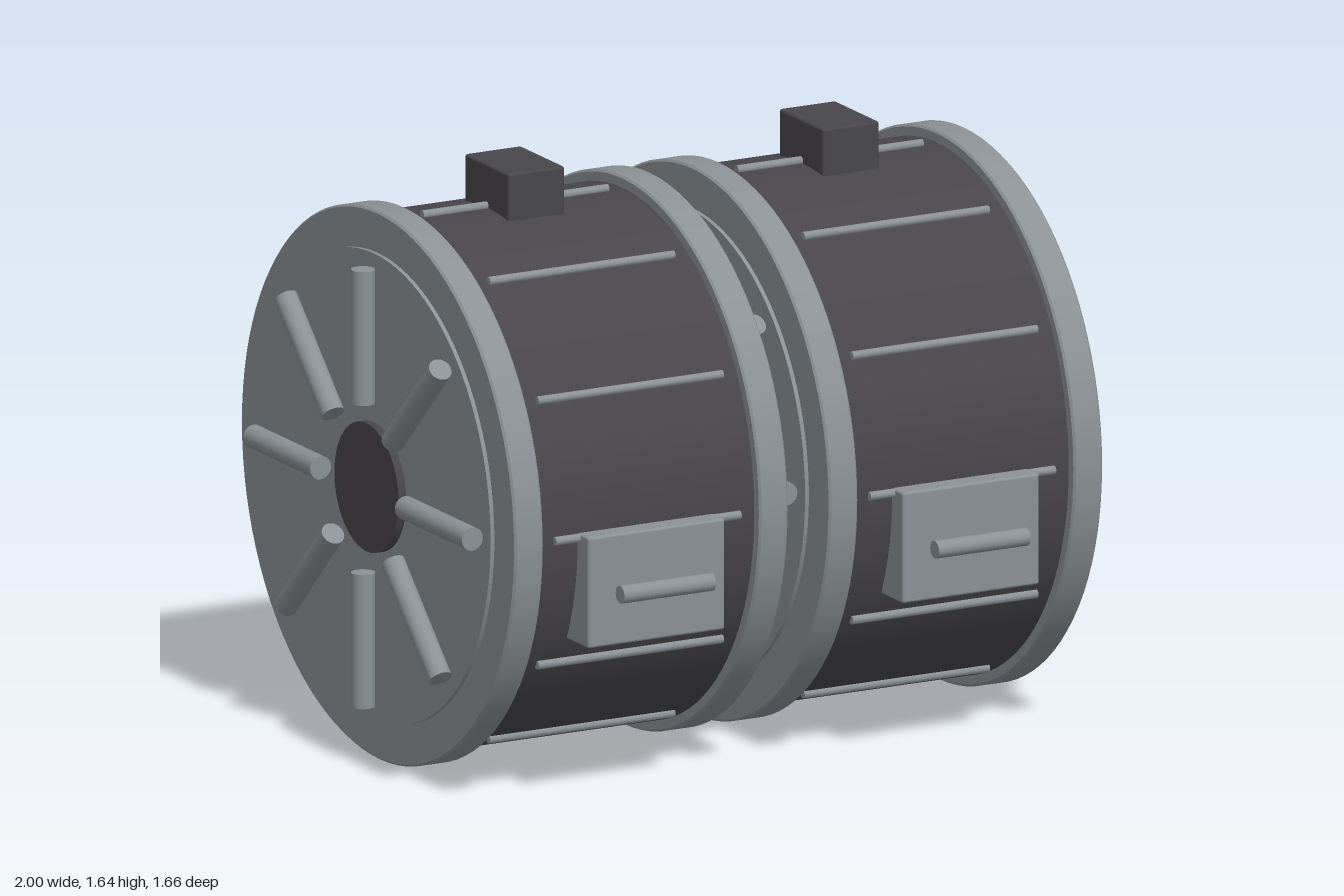
import * as THREE from 'three';
import { RoundedBoxGeometry } from 'three/addons/geometries/RoundedBoxGeometry.js';

const AXIS_Y = 0.78, AXIS_Z = -0.05;

export function createModel() {
  const steel = new THREE.MeshStandardMaterial({ color: 0x8b9195 });
  steel.name = 'steel grey';
  const dark = new THREE.MeshStandardMaterial({ color: 0x48464b });
  dark.name = 'dark charcoal';

  const add = (parent, name, geometry, material, x = 0, y = 0, z = 0) => {
    const mesh = new THREE.Mesh(geometry, material);
    mesh.name = name;
    mesh.position.set(x, y, z);
    parent.add(mesh);
    return mesh;
  };
  // cylinder lying along x
  const discX = (radius, length, sides = 96) =>
    new THREE.CylinderGeometry(radius, radius, length, sides).rotateZ(Math.PI / 2);

  // flange ring with small bevelled rims, lying along x
  const flangeGeo = () => {
    const R = 0.777, h = 0.045, b = 0.006;
    const corners = [[0, -h], [R - b, -h], [R, -h + b], [R, h - b], [R - b, h], [0, h]];
    const points = [];
    // doubled corners keep the edges sharp
    corners.forEach(([r, y], i) => {
      points.push(new THREE.Vector2(r, y));
      if (i > 0 && i < corners.length - 1) points.push(new THREE.Vector2(r, y));
    });
    return new THREE.LatheGeometry(points, 96).rotateZ(Math.PI / 2);
  };

  function createDrum(name) {
    const drum = new THREE.Group();
    drum.name = name;
    add(drum, 'drumBody', discX(0.745, 0.8), dark);

    // ribs around the body
    const ribGeo = discX(0.0125, 0.58, 12);
    for (let i = 0; i < 12; i++) {
      const a = i * Math.PI / 6;
      add(drum, 'rib', ribGeo, steel, 0, 0.75 * Math.cos(a), 0.75 * Math.sin(a));
    }

    // matching end on each side: flange, cap, hub and radial spokes
    const spokeGeo = new THREE.CylinderGeometry(0.033, 0.033, 0.38, 20);
    for (const s of [-1, 1]) {
      const end = new THREE.Group();
      end.name = s > 0 ? 'leftEnd' : 'rightEnd';
      drum.add(end);
      add(end, 'flange', flangeGeo(), steel, s * 0.383);
      add(end, 'endCap', discX(0.66, 0.06), steel, s * 0.41);
      add(end, 'hub', discX(0.182, 0.06, 48), dark, s * 0.434);
      for (let i = 0; i < 8; i++) {
        const a = i * Math.PI / 4;
        const spoke = add(end, 'spoke', spokeGeo, steel,
          s * 0.475, 0.43 * Math.cos(a), 0.43 * Math.sin(a));
        spoke.rotation.x = a;
      }
    }

    // top block, front panel and its handle bar
    add(drum, 'topBlock', new RoundedBoxGeometry(0.177, 0.17, 0.25, 2, 0.008), dark, 0, 0.783, 0);
    add(drum, 'frontPanel', new RoundedBoxGeometry(0.428, 0.315, 0.15, 2, 0.008), steel, 0, -0.145, 0.73);
    add(drum, 'handleBar', discX(0.025, 0.287, 20), steel, 0, -0.145, 0.857);

    return drum;
  }

  const model = new THREE.Group();
  model.name = 'twinDrums';
  for (const s of [-1, 1]) {
    const drum = createDrum(s > 0 ? 'leftDrum' : 'rightDrum');
    drum.position.set(s * 0.492, AXIS_Y, AXIS_Z);
    model.add(drum);
  }
  return model;
}
